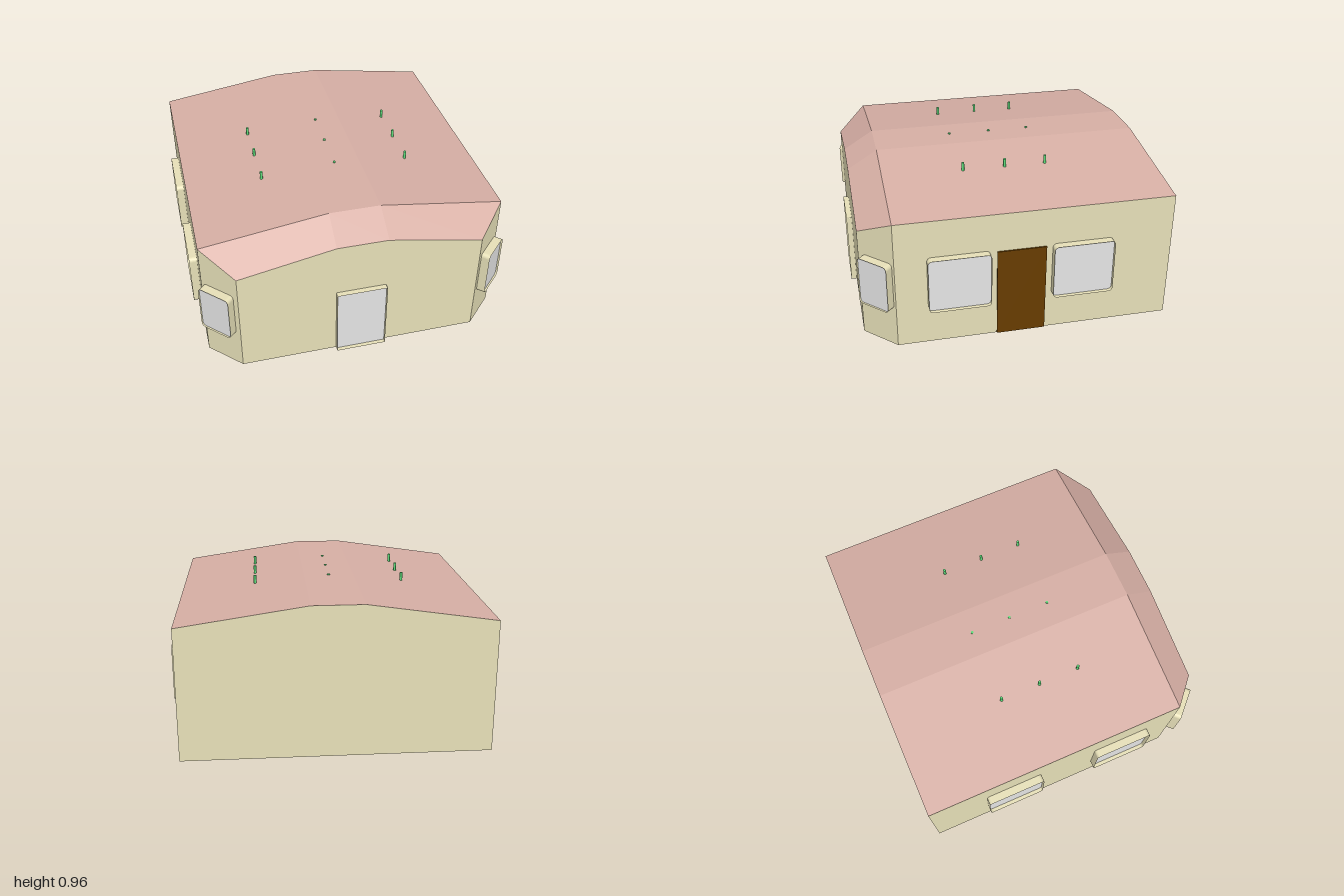
import * as THREE from 'three';

const mat = (name, color, side = THREE.FrontSide) => {
  const m = new THREE.MeshStandardMaterial({ color, side });
  m.name = name;
  return m;
};

// Surface from convex polygons, corners counter-clockwise from outside, one normal each
function polygons(list) {
  const pos = [], nor = [];
  const vec = (a, b) => new THREE.Vector3(b[0] - a[0], b[1] - a[1], b[2] - a[2]);
  for (const p of list) {
    const n = vec(p[0], p[2]).cross(vec(p[1], p[p.length - 1])).normalize();
    for (let i = 1; i < p.length - 1; i++) {
      pos.push(...p[0], ...p[i], ...p[i + 1]);
      for (let k = 0; k < 3; k++) nor.push(n.x, n.y, n.z);
    }
  }
  const g = new THREE.BufferGeometry();
  g.setAttribute('position', new THREE.Float32BufferAttribute(pos, 3));
  g.setAttribute('normal', new THREE.Float32BufferAttribute(nor, 3));
  return g;
}

// Rectangle with rounded corners, centred on the origin
function roundedRect(w, h, r) {
  const s = new THREE.Shape();
  const x = w / 2 - r, y = h / 2 - r;
  s.absarc(x, y, r, 0, Math.PI / 2);
  s.absarc(-x, y, r, Math.PI / 2, Math.PI);
  s.absarc(-x, -y, r, Math.PI, Math.PI * 1.5);
  s.absarc(x, -y, r, Math.PI * 1.5, Math.PI * 2);
  s.closePath();
  return s;
}

export function createModel() {
  const model = new THREE.Group();
  model.name = 'house';
  const wall = mat('wall cream', 0xe8e1b9);
  const frameMat = mat('frame cream', 0xe8e1b9, THREE.DoubleSide);
  const roofMat = mat('roof pink', 0xd7afa5);
  const glass = mat('glass grey', 0xe5e5e5, THREE.DoubleSide);
  const brown = mat('door brown', 0x673c00);
  const teal = mat('floor blue', 0x6ab0c3);
  const grey = mat('plate grey', 0xaeaeae);
  const green = mat('pin green', 0x60e07c);

  const add = (name, geometry, material, parent = model) => {
    const m = new THREE.Mesh(geometry, material);
    m.name = name;
    parent.add(m);
    return m;
  };

  // Roof cross-sections: back, front crease and front lip
  const Y0 = 0.006, ZB = -0.97, ZC = 0.745, ZF = 0.935;
  const section = (x, low, high, z) =>
    [[-x, low, z], [-0.16, high, z], [0.16, high, z], [x, low, z]];
  const back = section(0.95, 0.84, 0.957, ZB);
  const crease = section(0.95, 0.84, 0.957, ZC);
  const lip = section(0.76, 0.72, 0.84, ZF);
  const ground = ([x, , z]) => [x, Y0, z];

  const roofFaces = [];
  for (let i = 0; i < 3; i++) {
    roofFaces.push([back[i], crease[i], crease[i + 1], back[i + 1]]);
    roofFaces.push([crease[i], lip[i], lip[i + 1], crease[i + 1]]);
  }
  add('roof', polygons(roofFaces), roofMat);

  // Walls: each spans two eave corners, the gables also follow the roof line
  const span = (a, b) => [ground(a), ground(b), b, a];
  add('walls', polygons([
    [ground(lip[0]), ground(lip[3]), lip[3], lip[2], lip[1], lip[0]],
    [ground(back[3]), ground(back[0]), back[0], back[1], back[2], back[3]],
    span(lip[3], crease[3]), span(crease[3], back[3]),
    span(back[0], crease[0]), span(crease[0], lip[0]),
  ]), wall);

  // Floor and the plate beneath it
  add('floor', polygons([
    [back[0], back[3], crease[3], lip[3], lip[0], crease[0]].map(ground),
  ]), teal);
  add('floorPlate', new THREE.BoxGeometry(1.1, 0.006, 0.285), grey)
    .position.set(-0.18, 0.003, 0.1075);

  // Open rim standing off the wall, with the pane set back inside it
  function opening(name, w, h, r, depth, recess, x, y, z, turn) {
    const g = new THREE.Group();
    g.name = name;
    const shape = roundedRect(w, h, r);
    const outline = shape.getPoints(6);
    const rim = [];
    outline.forEach((p, i) => {
      const q = outline[(i + 1) % outline.length];
      if (p.distanceTo(q) > 1e-5)
        rim.push([[p.x, p.y, 0], [q.x, q.y, 0], [q.x, q.y, depth], [p.x, p.y, depth]]);
    });
    add('frame', polygons(rim), frameMat, g);
    add('pane', new THREE.ShapeGeometry(shape, 6), glass, g).position.z = depth - recess;
    g.position.set(x, y, z);
    g.rotation.y = turn;
    model.add(g);
  }

  for (const s of [-1, 1]) {
    const side = s > 0 ? 'left' : 'right';
    for (const z of [0.363, -0.4])
      opening(`${side}${z > 0 ? 'Front' : 'Rear'}Window`, 0.38, 0.355, 0.025, 0.05, 0.025,
        s * 0.95, 0.4225, z, s * Math.PI / 2);
    opening(`${side}CornerWindow`, 0.22, 0.312, 0.025, 0.055, 0.012,
      s * 0.861, 0.4215, 0.834, s * Math.atan2(0.19, 0.19));
  }
  opening('frontDoor', 0.317, 0.479, 0.006, 0.035, 0.025, 0, 0.2465, ZF, 0);

  // Side door, on the left only
  add('sideDoor', new THREE.BoxGeometry(0.012, 0.584, 0.303), brown)
    .position.set(0.953, 0.299, -0.02);

  // Roof pins in a three by three grid
  const pin = new THREE.CylinderGeometry(0.009, 0.009, 0.06, 8);
  for (const x of [-0.475, 0, 0.475])
    for (const z of [-0.282, -0.022, 0.243])
      add('roofPin', pin, green).position.set(x, 0.933, z);

  return model;
}
